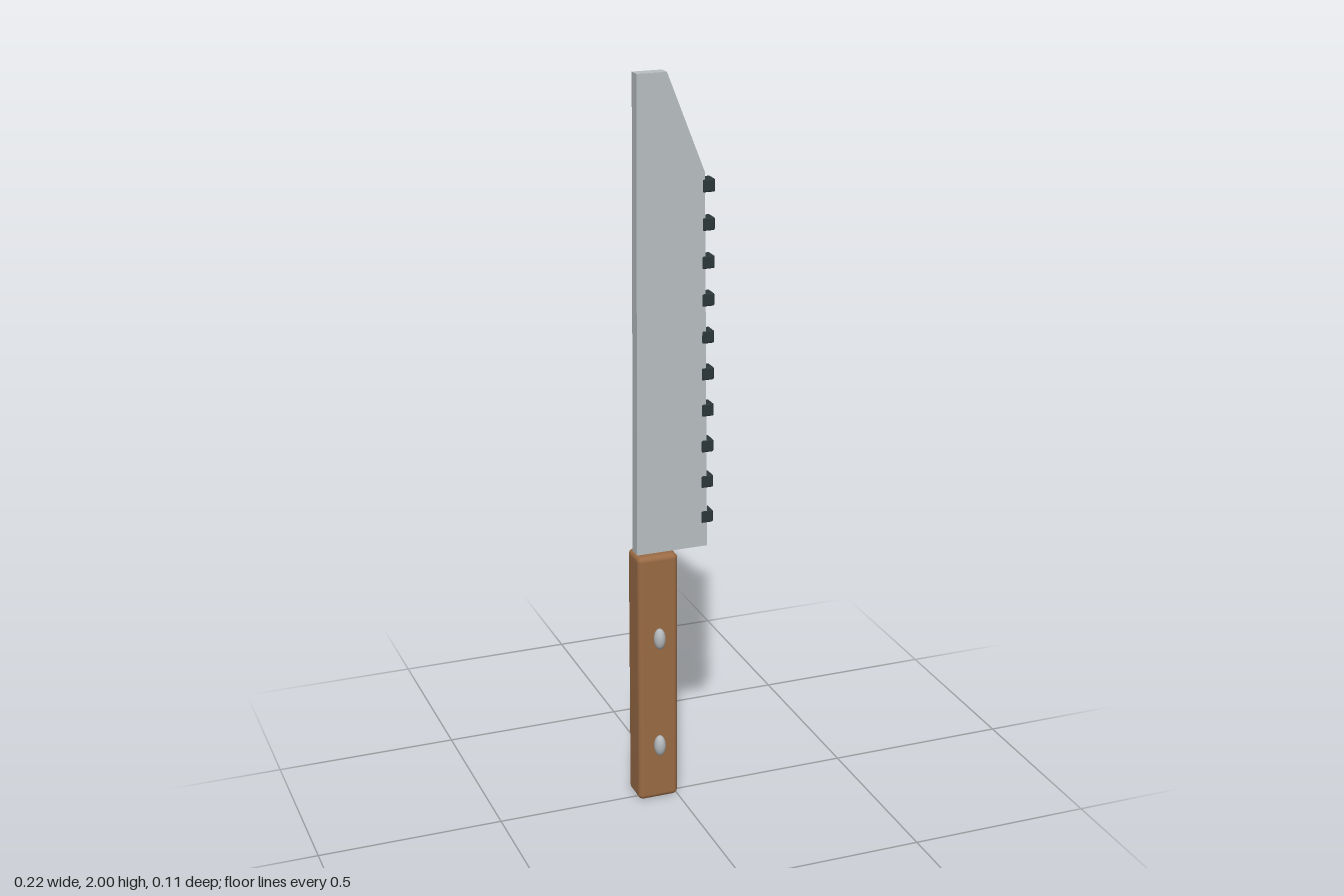
import * as THREE from 'three';
import { RoundedBoxGeometry } from 'three/addons/geometries/RoundedBoxGeometry.js';

const material = (name, color) => {
  const m = new THREE.MeshStandardMaterial({ color });
  m.name = name;
  return m;
};

export function createModel() {
  const wood = material('wood', 0x9a6b45);
  const steel = material('steel', 0xb9bfc2);
  const rivetMetal = material('rivetMetal', 0xb4b7ba);
  const darkMetal = material('darkMetal', 0x2b3639);

  const model = new THREE.Group();
  model.name = 'serratedKnife';
  const add = (name, geometry, mat, x, y, z) => {
    const mesh = new THREE.Mesh(geometry, mat);
    mesh.name = name;
    mesh.position.set(x, y, z);
    model.add(mesh);
    return mesh;
  };

  // Softly rounded wooden grip
  add('handle', new RoundedBoxGeometry(0.113, 0.722, 0.087, 4, 0.014), wood, -0.055, 0.361, -0.0125);

  // Slightly tapered blade with a clipped tip
  const outline = new THREE.Shape([
    [-0.106, 0.722], [0.093, 0.722], [0.082, 1.74], [-0.02, 2], [-0.1, 2],
  ].map(([x, y]) => new THREE.Vector2(x, y)));
  const bladeGeometry = new THREE.ExtrudeGeometry(outline, { depth: 0.034, bevelEnabled: false });
  add('blade', bladeGeometry, steel, 0, 0, -0.029);

  // Block teeth along the cutting edge
  const toothGeometry = new RoundedBoxGeometry(0.034, 0.034, 0.04, 2, 0.004);
  for (let i = 0; i < 10; i++) {
    add(`tooth${i + 1}`, toothGeometry, darkMetal, 0.093, 0.805 + i * 0.1, -0.013);
  }

  // Oval rivets on the front of the grip
  const rivetGeometry = new THREE.SphereGeometry(1, 24, 16).scale(0.016, 0.03, 0.017);
  [0.165, 0.485].forEach((y, i) => add(`rivet${i + 1}`, rivetGeometry, rivetMetal, -0.055, y, 0.038));

  return model;
}
